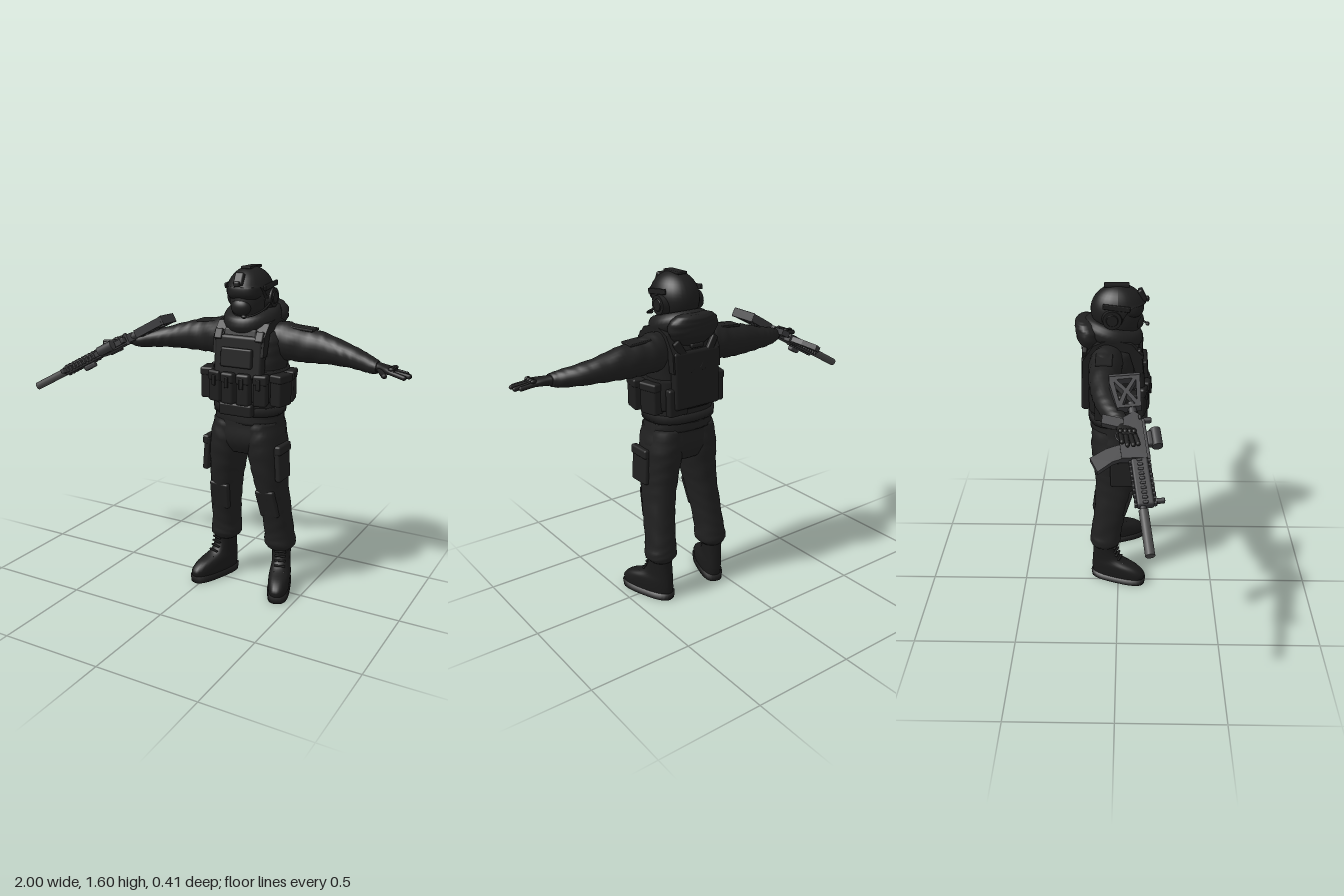
import * as THREE from 'three';
import { RoundedBoxGeometry } from 'three/addons/geometries/RoundedBoxGeometry.js';

const V = (x, y, z) => new THREE.Vector3(x, y, z);
const mat = (name, color) => Object.assign(new THREE.MeshStandardMaterial({ color }), { name });

// Smooth skin through oval sections [x, y, z, a, b]; U and W are the ring axes
function loft(secs, U, W, { power = 2, sides = 28, steps = 5, folds = 0 } = {}) {
  const pos = [], idx = [];
  const cr = (a, b, c, d, t) => 0.5 * (2 * b + (c - a) * t + (2 * a - 5 * b + 4 * c - d) * t * t + (3 * b - a - 3 * c + d) * t ** 3);
  const at = (i) => secs[Math.max(0, Math.min(secs.length - 1, i))];
  const rows = (secs.length - 1) * steps + 1;
  const bend = (c) => Math.sign(c) * Math.abs(c) ** (2 / power);
  for (let r = 0; r < rows; r++) {
    const i = Math.min(Math.floor(r / steps), secs.length - 2), t = r / steps - i;
    const [x, y, z, a, b] = [0, 1, 2, 3, 4].map((k) => cr(at(i - 1)[k], at(i)[k], at(i + 1)[k], at(i + 2)[k], t));
    for (let j = 0; j < sides; j++) {
      const w = (j / sides) * Math.PI * 2;
      const f = 1 + folds * Math.sin(r * 1.7 + 2.2 * Math.sin(w * 2 + r * 0.3));
      const p = V(x, y, z).addScaledVector(U, a * f * bend(Math.cos(w))).addScaledVector(W, b * f * bend(Math.sin(w)));
      pos.push(p.x, p.y, p.z);
    }
  }
  for (let r = 0; r < rows - 1; r++) for (let j = 0; j < sides; j++) {
    const a = r * sides + j, b = r * sides + ((j + 1) % sides), c = a + sides, d = b + sides;
    idx.push(a, c, b, b, c, d);
  }
  // end caps
  const n = rows * sides;
  pos.push(...at(0).slice(0, 3), ...at(99).slice(0, 3));
  for (let j = 0; j < sides; j++) {
    const k = (j + 1) % sides, o = (rows - 1) * sides;
    idx.push(n, j, k, n + 1, o + k, o + j);
  }
  const g = new THREE.BufferGeometry();
  g.setAttribute('position', new THREE.Float32BufferAttribute(pos, 3));
  g.setIndex(idx);
  g.computeVertexNormals();
  return g;
}
const X = V(1, 0, 0), Y = V(0, 1, 0), Z = V(0, 0, 1);
const upLoft = (secs, o) => loft(secs, X, Z, o);
const sideLoft = (secs, o) => loft(secs, Z, Y, o);

function box(w, h, d, x, y, z, rx = 0, ry = 0, rz = 0, r = 0.01) {
  const g = new RoundedBoxGeometry(w, h, d, 2, Math.min(r, w / 3, h / 3, d / 3));
  return g.applyMatrix4(new THREE.Matrix4().makeRotationFromEuler(new THREE.Euler(rx, ry, rz))).translate(x, y, z);
}
function rod(a, b, r, r2 = r, sides = 14) {
  const d = b.clone().sub(a), g = new THREE.CylinderGeometry(r2, r, d.length(), sides);
  g.applyQuaternion(new THREE.Quaternion().setFromUnitVectors(Y, d.normalize()));
  return g.translate((a.x + b.x) / 2, (a.y + b.y) / 2, (a.z + b.z) / 2);
}
function finger(a, b, r) {
  const d = b.clone().sub(a), g = new THREE.CapsuleGeometry(r, d.length(), 4, 10);
  g.applyQuaternion(new THREE.Quaternion().setFromUnitVectors(Y, d.normalize()));
  return g.translate((a.x + b.x) / 2, (a.y + b.y) / 2, (a.z + b.z) / 2);
}
const ball = (rx, ry, rz, x, y, z) => new THREE.SphereGeometry(1, 32, 24).scale(rx, ry, rz).translate(x, y, z);
// Flat outline with optional holes, extruded and centred on z
function plate(points, depth, holes = []) {
  const s = new THREE.Shape(points.map((p) => new THREE.Vector2(...p)));
  holes.forEach((h) => s.holes.push(new THREE.Path(h.map((p) => new THREE.Vector2(...p)))));
  return new THREE.ExtrudeGeometry(s, { depth, bevelEnabled: false }).translate(0, 0, -depth / 2);
}
function mirrored(geo) {
  const g = geo.clone().scale(-1, 1, 1);
  const n = g.index ? g.index.count : g.attributes.position.count;
  const id = Array.from({ length: n }, (_, i) => (g.index ? g.index.getX(i) : i));
  for (let i = 0; i < n; i += 3) [id[i], id[i + 1]] = [id[i + 1], id[i]];
  g.setIndex(id);
  return g;
}

export function createModel() {
  const cloth = mat('black cloth', 0x202020), gear = mat('black gear', 0x1d1d1d);
  const boot = mat('boot leather', 0x1a1a1a), metal = mat('gun metal', 0x3c3c3e), barrel = mat('suppressor grey', 0x4a4a4a);
  const model = new THREE.Group(), body = new THREE.Group(), rifle = new THREE.Group();
  body.name = 'soldier'; rifle.name = 'rifle'; model.name = 'soldierWithRifle';
  body.position.x = 0.2;
  model.add(body, rifle);
  const add = (name, geo, m, parent = body) => {
    const mesh = new THREE.Mesh(geo, m);
    mesh.name = name;
    parent.add(mesh);
  };
  const pair = (name, geo, m) => { add(name + 'Left', geo, m); add(name + 'Right', mirrored(geo), m); };

  // Jacket and trousers
  add('jacket', upLoft([[0, 0.87, -0.015, 0.165, 0.13], [0, 0.96, -0.015, 0.165, 0.13], [0, 1.1, -0.025, 0.165, 0.13],
    [0, 1.2, -0.035, 0.17, 0.128], [0, 1.28, -0.04, 0.165, 0.12], [0, 1.335, -0.04, 0.11, 0.095], [0, 1.39, -0.02, 0.08, 0.08]],
  { power: 2.4, folds: 0.012 }), cloth);
  add('hips', upLoft([[0, 0.72, -0.015, 0.12, 0.1], [0, 0.78, -0.01, 0.182, 0.127], [0, 0.86, -0.012, 0.172, 0.128],
    [0, 0.91, -0.015, 0.165, 0.13]], { power: 2.3 }), cloth);
  pair('trouserLeg', upLoft([[0.155, 0.205, -0.07, 0.055, 0.062], [0.152, 0.235, -0.068, 0.076, 0.08], [0.148, 0.3, -0.062, 0.07, 0.08],
    [0.138, 0.42, -0.04, 0.071, 0.085], [0.123, 0.55, -0.018, 0.074, 0.1], [0.109, 0.66, -0.01, 0.083, 0.114],
    [0.096, 0.78, -0.01, 0.09, 0.128], [0.085, 0.88, -0.012, 0.08, 0.12]], { power: 2.2, folds: 0.018 }), cloth);
  pair('thighPocket', box(0.03, 0.17, 0.12, 0.192, 0.685, 0.02, 0, 0, 0.07), cloth);
  pair('thighPocketFlap', box(0.034, 0.045, 0.125, 0.193, 0.755, 0.02, 0, 0, 0.07), cloth);
  pair('kneePatch', box(0.1, 0.15, 0.03, 0.13, 0.47, 0.043, 0.3, 0, 0.1, 0.012), cloth);

  // Boots, toes turned out
  const turn = (g) => g.rotateY(0.33).translate(0.158, 0.01, -0.075);
  pair('boot', turn(upLoft([[0, 0.015, 0.08, 0.05, 0.143], [0, 0.05, 0.08, 0.053, 0.146], [0, 0.085, 0.06, 0.052, 0.125],
    [0, 0.12, 0.018, 0.046, 0.08], [0, 0.17, 0.004, 0.046, 0.062], [0, 0.225, 0.005, 0.049, 0.06]], { power: 2.4 })), boot);
  pair('sole', turn(upLoft([[0, -0.01, 0.08, 0.053, 0.147], [0, 0.024, 0.08, 0.056, 0.151]], { power: 2.8, steps: 1 })), boot);
  for (let i = 0; i < 5; i++) pair('bootLace' + i, turn(box(0.055, 0.008, 0.012, 0, 0.105 + i * 0.022, [0.112, 0.09, 0.077, 0.07, 0.067][i])), gear);

  // Sleeves and gloves
  pair('sleeve', sideLoft([[0.08, 1.25, -0.045, 0.07, 0.085], [0.16, 1.255, -0.058, 0.08, 0.09], [0.25, 1.243, -0.065, 0.072, 0.082],
    [0.35, 1.235, -0.066, 0.064, 0.072], [0.45, 1.221, -0.054, 0.056, 0.056], [0.53, 1.209, -0.03, 0.053, 0.046],
    [0.6, 1.198, 0.003, 0.044, 0.037], [0.635, 1.195, 0.018, 0.034, 0.028]], { folds: 0.025 }), cloth);
  pair('glovePalm', sideLoft([[0.61, 1.195, 0.01, 0.03, 0.025], [0.645, 1.195, 0.023, 0.03, 0.021],
    [0.69, 1.193, 0.042, 0.039, 0.018], [0.725, 1.19, 0.052, 0.034, 0.014]], { power: 2.4 }), gear);
  [[0.018, 0.025, 0.765], [0.038, 0.048, 0.783], [0.057, 0.072, 0.788], [0.075, 0.092, 0.772]].forEach(([z0, z1, x], i) => {
    pair('finger' + i, finger(V(0.705, 1.19, z0), V(x, 1.181 - 0.004 * (i % 2), z1), 0.0105), gear);
    pair('knuckle' + i, ball(0.014, 0.009, 0.01, 0.71, 1.204, z0), gear);
  });
  pair('thumb', finger(V(0.65, 1.19, 0.045), V(0.69, 1.178, 0.102), 0.012), gear);
  pair('upperSleevePatch', box(0.11, 0.012, 0.08, 0.25, 1.319, -0.065, 0, 0, -0.07), cloth);

  // Vest, plates and straps
  add('vest', upLoft([[0, 0.985, -0.02, 0.176, 0.138], [0, 1.05, -0.022, 0.18, 0.142], [0, 1.13, -0.025, 0.176, 0.14]], { power: 2.8 }), gear);
  add('belt', upLoft([[0, 0.915, -0.015, 0.17, 0.138], [0, 0.955, -0.015, 0.172, 0.14]], { power: 2.6, steps: 1 }), gear);
  add('chestPlate', box(0.25, 0.2, 0.05, 0, 1.19, 0.098, -0.08, 0, 0, 0.02), gear);
  add('upperChestPanel', box(0.17, 0.09, 0.035, 0, 1.275, 0.088, -0.25, 0, 0, 0.015), gear);
  add('adminPouch', box(0.16, 0.09, 0.025, 0, 1.19, 0.13, -0.08), gear);
  add('backPlate', box(0.25, 0.27, 0.045, 0, 1.13, -0.158, 0.02, 0, 0, 0.02), gear);
  add('dragHandle', box(0.07, 0.02, 0.02, 0, 1.285, -0.172), gear);
  pair('backStrap', box(0.035, 0.17, 0.025, 0.065, 1.24, -0.165, 0.06, 0, -0.55), gear);
  const strap = plate([[0.12, 1.2], [0.11, 1.29], [0.06, 1.345], [-0.04, 1.368], [-0.12, 1.335], [-0.17, 1.26], [-0.175, 1.17],
    [-0.14, 1.17], [-0.13, 1.26], [-0.04, 1.32], [0.05, 1.3], [0.08, 1.2]], 0.05).rotateY(-Math.PI / 2);
  pair('shoulderStrap', strap.translate(0.105, 0, 0), gear);
  pair('shoulderBuckle', box(0.04, 0.05, 0.02, 0.105, 1.29, 0.105, -0.4), gear);
  [-0.115, -0.039, 0.039, 0.115].forEach((x, i) => {
    const z = 0.135 - Math.abs(x) * 0.25;
    add('magazinePouch' + i, box(0.066, 0.14, 0.055, x, 1.04, z, 0, x * 2, 0, 0.012), gear);
    add('pouchFlap' + i, box(0.069, 0.05, 0.062, x, 1.095, z, 0, x * 2, 0, 0.012), gear);
    add('pouchTab' + i, box(0.02, 0.05, 0.01, x, 1.075, z + 0.033, 0, x * 2), gear);
  });
  add('lowerPouch', box(0.17, 0.06, 0.04, 0, 0.945, 0.125), gear);
  [[0.045, 0.2], [-0.065, 0.19]].forEach(([z, x], i) => {
    pair('sidePouch' + i, box(0.06, 0.14, 0.095, x - 0.012, 1.04, z, 0, -0.2 + 0.45 * i), gear);
    pair('sidePouchFlap' + i, box(0.067, 0.04, 0.102, x - 0.012, 1.1, z, 0, -0.2 + 0.45 * i), gear);
  });
  add('radioPouch', box(0.1, 0.13, 0.04, 0.1, 1.03, -0.15), gear);

  // Hood and collar
  add('collar', new THREE.TorusGeometry(0.095, 0.036, 14, 36).rotateX(Math.PI / 2 + 0.25).scale(1.02, 1.25, 1.15).translate(0, 1.365, -0.03), cloth);
  add('hood', upLoft([[0, 1.285, -0.13, 0.07, 0.035], [0, 1.33, -0.14, 0.118, 0.06], [0, 1.38, -0.145, 0.13, 0.065],
    [0, 1.415, -0.155, 0.105, 0.055], [0, 1.43, -0.165, 0.07, 0.03]], { folds: 0.02 }), cloth);

  // Masked head, goggles and headset
  add('maskedFace', upLoft([[0, 1.34, -0.01, 0.07, 0.075], [0, 1.38, 0.015, 0.068, 0.082], [0, 1.415, 0.02, 0.078, 0.09],
    [0, 1.46, 0.01, 0.086, 0.1], [0, 1.54, 0, 0.085, 0.1]]), cloth);
  add('maskSnout', ball(0.05, 0.04, 0.03, 0, 1.418, 0.09), gear);
  add('goggles', upLoft([[0, 1.455, 0.045, 0.07, 0.06], [0, 1.475, 0.045, 0.083, 0.073], [0, 1.505, 0.045, 0.083, 0.073],
    [0, 1.52, 0.04, 0.075, 0.068]], { power: 2.6 }), gear);
  const helmet = ball(0.105, 0.12, 0.132, 0, 1.475, -0.003), hp = helmet.attributes.position;
  for (let i = 0; i < hp.count; i++) {
    const t = THREE.MathUtils.smoothstep(hp.getZ(i), -0.02, 0.07);
    hp.setY(i, Math.max(hp.getY(i), 1.415 + 0.095 * t));
  }
  helmet.computeVertexNormals();
  add('helmet', helmet, gear);
  add('helmetMount', box(0.045, 0.06, 0.025, 0, 1.545, 0.11, -0.45), gear);
  add('mountHook', box(0.03, 0.025, 0.03, 0, 1.525, 0.128), gear);
  pair('helmetRail', box(0.012, 0.025, 0.13, 0.1, 1.512, -0.01, 0.12), gear);
  pair('earCup', rod(V(0.075, 1.455, -0.03), V(0.112, 1.455, -0.03), 0.052, 0.044, 24), gear);
  pair('earCupCap', rod(V(0.11, 1.455, -0.03), V(0.117, 1.455, -0.03), 0.03, 0.026, 20), gear);
  pair('chinStrap', rod(V(0.088, 1.46, 0.01), V(0.03, 1.372, 0.07), 0.007), gear);
  add('helmetTopPad', box(0.05, 0.012, 0.12, 0, 1.591, -0.01), gear);
  add('microphoneBoom', new THREE.TubeGeometry(new THREE.CatmullRomCurve3([V(0.105, 1.44, -0.01), V(0.1, 1.41, 0.06),
    V(0.07, 1.388, 0.115), V(0.04, 1.383, 0.138)]), 16, 0.005, 8), gear);
  add('microphone', ball(0.014, 0.009, 0.01, 0.04, 1.383, 0.138), gear);

  // Rifle: muzzle at the origin, pointing along local +x, sights towards local +y
  const fwd = V(-0.745, -0.4, 0.11).normalize(), up = Z.clone().addScaledVector(fwd, -fwd.z).normalize();
  rifle.quaternion.setFromRotationMatrix(new THREE.Matrix4().makeBasis(fwd, up, fwd.clone().cross(up)));
  rifle.position.set(-0.988, 0.915, 0.14);
  const gun = (name, geo, m = metal) => add(name, geo, m, rifle);
  gun('suppressor', rod(V(-0.2, 0, 0), V(0, 0, 0), 0.02, 0.02, 20), barrel);
  gun('barrel', rod(V(-0.3, 0, 0), V(-0.19, 0, 0), 0.013), metal);
  gun('handguard', box(0.22, 0.07, 0.045, -0.325, 0.012, 0));
  for (let i = 0; i < 10; i++) {
    gun('topRailRib' + i, box(0.012, 0.014, 0.03, -0.225 - i * 0.022, 0.052, 0));
    gun('sideRailRib' + i, box(0.012, 0.022, 0.058, -0.225 - i * 0.022, 0.012, 0));
    gun('lowerRailRib' + i, box(0.012, 0.012, 0.028, -0.225 - i * 0.022, -0.027, 0));
  }
  gun('receiver', plate([[-0.43, 0.048], [-0.64, 0.048], [-0.665, 0.02], [-0.64, -0.03], [-0.54, -0.035], [-0.525, -0.06], [-0.44, -0.06]], 0.042));
  gun('receiverRail', box(0.2, 0.015, 0.028, -0.53, 0.053, 0));
  gun('magazine', plate([[-0.445, -0.04], [-0.515, -0.04], [-0.495, -0.12], [-0.46, -0.19], [-0.39, -0.165], [-0.43, -0.1]], 0.028));
  gun('pistolGrip', plate([[-0.585, -0.025], [-0.635, -0.025], [-0.67, -0.115], [-0.625, -0.125]], 0.03));
  gun('triggerGuard', new THREE.TorusGeometry(0.026, 0.004, 8, 20).translate(-0.56, -0.045, 0));
  gun('bufferTube', rod(V(-0.72, 0.015, 0), V(-0.64, 0.015, 0), 0.018));
  // Skeleton stock with triangular openings
  gun('stock', plate([[-0.69, 0.055], [-0.86, 0.07], [-0.865, -0.065], [-0.83, -0.07], [-0.69, -0.05]], 0.04, [
    [[-0.705, 0.03], [-0.705, -0.025], [-0.76, 0.0]], [[-0.725, 0.04], [-0.83, 0.048], [-0.775, 0.012]],
    [[-0.725, -0.037], [-0.775, -0.012], [-0.83, -0.048]], [[-0.84, 0.035], [-0.84, -0.035], [-0.79, 0]]]));
  gun('buttPad', box(0.012, 0.14, 0.046, -0.862, 0.002, 0, 0, 0, -0.03));
  // Sights and rail fittings
  gun('sightBase', box(0.07, 0.025, 0.035, -0.53, 0.07, 0));
  gun('opticSight', rod(V(-0.575, 0.097, 0), V(-0.49, 0.097, 0), 0.024, 0.024, 18));
  gun('frontSight', box(0.018, 0.04, 0.025, -0.235, 0.072, 0));
  gun('rearSight', box(0.02, 0.035, 0.028, -0.625, 0.072, 0));
  gun('laserUnit', box(0.07, 0.03, 0.026, -0.36, 0.018, -0.036));
  gun('chargingHandle', box(0.02, 0.012, 0.06, -0.63, 0.04, 0));
  return model;
}
